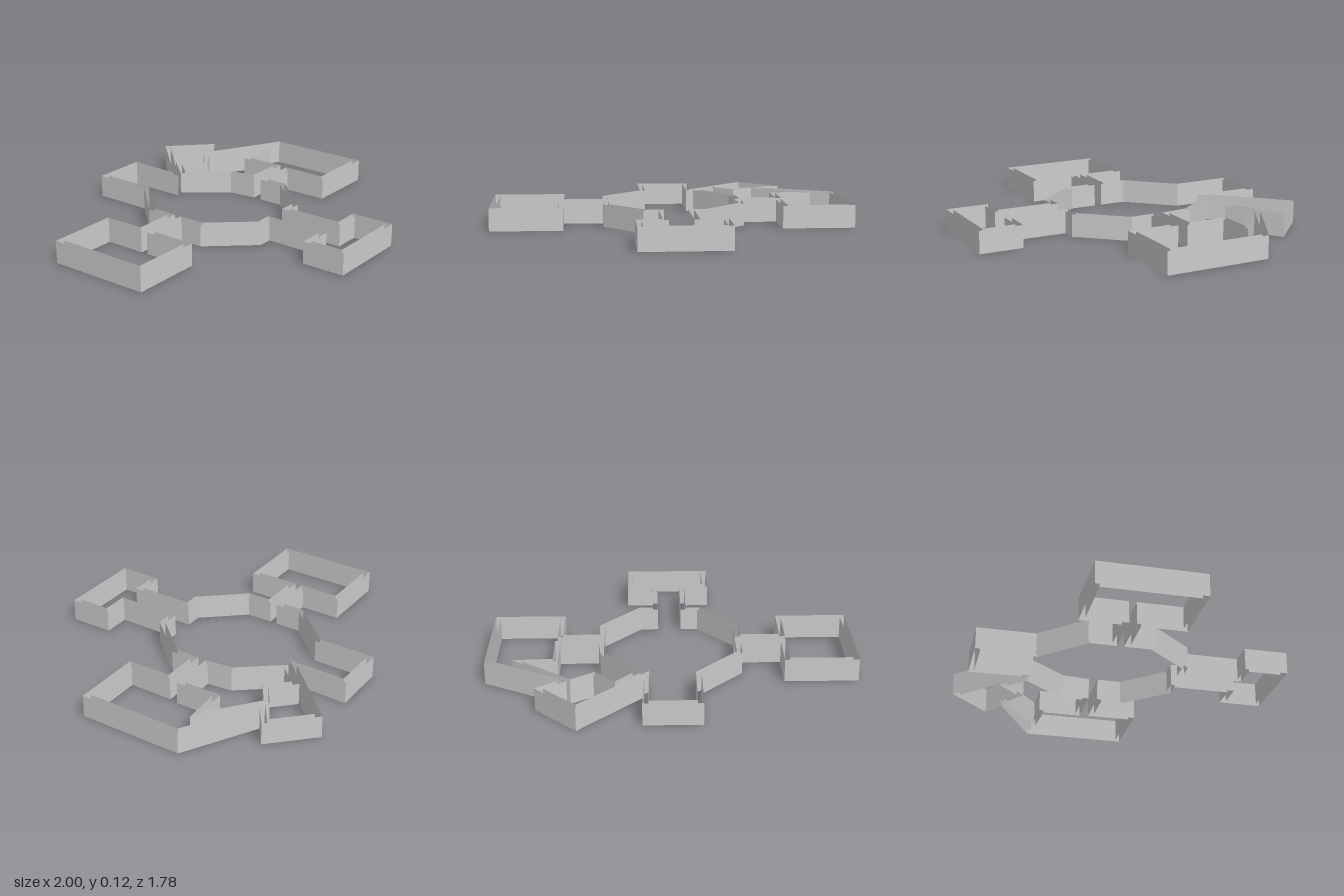
import * as THREE from 'three';

const HEIGHT = 0.125;
const THICK = 0.03;

// Plan outlines as [x, z]; the corridor lies on the left of each run
const OUTLINE = [
  // back bay and angled room
  [0.16, -0.84], [0.15, -0.54], [0.49, -0.89], [0.71, -0.67], [0.6, -0.59],
  // left room (+x) and its neck
  [1, -0.37], [1, 0.22], [0.6, 0.22], [0.6, -0.03], [0.4, -0.03],
  // hall corner and front room
  [0.4, 0.09], [0.18, 0.335], [0.1, 0.335], [0.1, 0.65], [0.25, 0.65], [0.25, 0.895],
  [-0.23, 0.895], [-0.23, 0.65], [-0.09, 0.65], [-0.09, 0.335], [-0.17, 0.335], [-0.38, 0.09],
  // right room (-x) and its neck
  [-0.38, -0.04], [-0.6, -0.04], [-0.6, 0.21], [-1, 0.21], [-1, -0.37], [-0.6, -0.37],
  [-0.6, -0.14], [-0.38, -0.14], [-0.38, -0.27], [-0.15, -0.51], [-0.15, -0.84],
];
const COURTYARD = [
  [0.385, -0.28], [0.4, -0.14], [0.61, -0.14], [0.61, -0.36], [0.8, -0.36],
  [0.53, -0.57], [0.41, -0.49], [0.3, -0.6], [0.21, -0.5],
];

// Mitred parallel of a closed loop, moved to its left
function offsetLoop(loop, t) {
  const pts = loop.map(([x, z]) => new THREE.Vector2(x, z));
  const n = pts.length;
  const left = (a, b) => {
    const d = b.clone().sub(a).normalize();
    return new THREE.Vector2(-d.y, d.x);
  };
  return pts.map((p, i) => {
    const n1 = left(pts[(i + n - 1) % n], p);
    const n2 = left(p, pts[(i + 1) % n]);
    const k = t / Math.max(0.35, 1 + n1.dot(n2));
    const q = p.clone().add(n1.add(n2).multiplyScalar(k));
    return [q.x, q.y];
  });
}

// Upright sheet along a closed loop, open above and below
function wallSheet(loop, flip) {
  const pos = [];
  loop.forEach((p, i) => {
    const q = loop[(i + 1) % loop.length];
    const [a, b] = flip ? [q, p] : [p, q];
    const a0 = [a[0], 0, a[1]], a1 = [a[0], HEIGHT, a[1]];
    const b0 = [b[0], 0, b[1]], b1 = [b[0], HEIGHT, b[1]];
    pos.push(...a0, ...a1, ...b1, ...a0, ...b1, ...b0);
  });
  const geo = new THREE.BufferGeometry();
  geo.setAttribute('position', new THREE.Float32BufferAttribute(pos, 3));
  geo.computeVertexNormals();
  return geo;
}

export function createModel() {
  const model = new THREE.Group();
  model.name = 'floorPlanWalls';
  const material = new THREE.MeshStandardMaterial({
    color: 0xcccccc, flatShading: true, side: THREE.DoubleSide,
  });

  // Each wall is an outer and an inner sheet
  const addWall = (name, loop) => {
    const wall = new THREE.Group();
    wall.name = name;
    const outer = new THREE.Mesh(wallSheet(loop, false), material);
    outer.name = name + 'Outside';
    const inner = new THREE.Mesh(wallSheet(offsetLoop(loop, THICK), true), material);
    inner.name = name + 'Inside';
    wall.add(outer, inner);
    model.add(wall);
  };
  addWall('perimeterWall', OUTLINE);
  addWall('courtyardWall', COURTYARD);
  return model;
}
